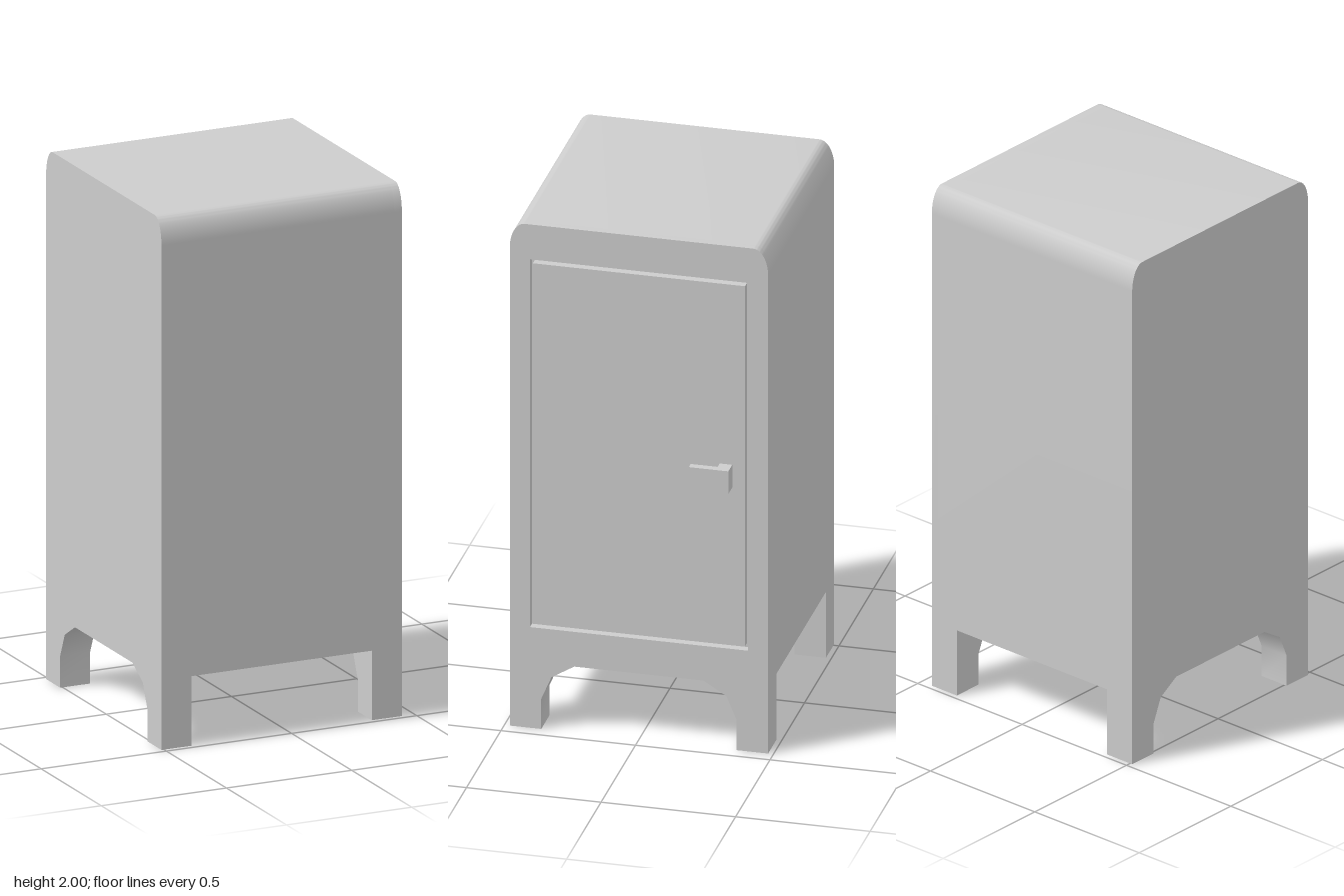
import * as THREE from 'three';
import { toCreasedNormals } from 'three/addons/utils/BufferGeometryUtils.js';

const LEFT_X = -0.51, RIGHT_X = 0.45; // ends of the cabinet
const HALF = 0.48;                    // half depth along z
const FLOOR = 0.262, TOP = 2;         // underside and top of the body
const GROOVE = 0.03;                  // depth of the gap around the door
const LEG = 0.12;

// Extrudes a shape drawn in (-z, y) from x0 to x1.
function extrudeX(shape, x0, x1) {
  const g = new THREE.ExtrudeGeometry(shape, { depth: x1 - x0, bevelEnabled: false, curveSegments: 8 });
  g.rotateY(Math.PI / 2);
  g.translate(x0, 0, 0);
  return toCreasedNormals(g, Math.PI / 5);
}

// Upright outline with rounded upper corners
function bodyShape() {
  const rz = 0.055, ry = 0.1;
  const s = new THREE.Shape();
  s.moveTo(-HALF, FLOOR);
  s.lineTo(HALF, FLOOR);
  s.lineTo(HALF, TOP - ry);
  s.absellipse(HALF - rz, TOP - ry, rz, ry, 0, Math.PI / 2, false, 0);
  s.lineTo(-HALF + rz, TOP);
  s.absellipse(-HALF + rz, TOP - ry, rz, ry, Math.PI / 2, Math.PI, false, 0);
  s.closePath();
  return s;
}

// Foot with a faceted bracket curving towards the middle
function legShape(side) {
  const pts = [[0.48, 0], [0.48, FLOOR], [0.24, FLOOR], [0.325, 0.21], [0.363, 0.12], [0.363, 0]];
  return new THREE.Shape(pts.map(([a, y]) => new THREE.Vector2(a * side, y)));
}

export function createModel() {
  const model = new THREE.Group();
  const grey = new THREE.MeshStandardMaterial({ color: 0xcccccc });
  grey.name = 'light grey';

  const add = (name, geometry, parent = model) => {
    const mesh = new THREE.Mesh(geometry, grey);
    mesh.name = name;
    parent.add(mesh);
    return mesh;
  };
  const box = (name, min, max, parent) => {
    const size = max.map((v, i) => v - min[i]);
    const mesh = add(name, new THREE.BoxGeometry(...size), parent);
    mesh.position.set(...max.map((v, i) => (v + min[i]) / 2));
  };

  // Cabinet body
  add('body', extrudeX(bodyShape(), LEFT_X, RIGHT_X - GROOVE));

  // Door surround with an opening
  const surround = bodyShape();
  surround.holes.push(new THREE.Path([
    new THREE.Vector2(-0.405, 0.4), new THREE.Vector2(-0.405, 1.862),
    new THREE.Vector2(0.405, 1.862), new THREE.Vector2(0.405, 0.4),
  ]));
  add('doorSurround', extrudeX(surround, RIGHT_X - GROOVE, RIGHT_X));

  // Flush door inside the groove
  box('door', [RIGHT_X - GROOVE, 0.416, -0.394], [RIGHT_X, 1.847, 0.394]);

  // L-shaped door handle
  const handle = new THREE.Group();
  handle.name = 'handle';
  model.add(handle);
  const grip = new THREE.Shape([
    [0.45, 0.347], [0.45, 0.3], [0.48, 0.3], [0.48, 0.2], [0.508, 0.2], [0.508, 0.347],
  ].map(([x, y]) => new THREE.Vector2(x, y)));
  const gripGeo = new THREE.ExtrudeGeometry(grip, { depth: 0.09, bevelEnabled: false });
  gripGeo.rotateX(-Math.PI / 2);
  gripGeo.translate(0, 1.042, 0);
  add('handleGrip', gripGeo, handle);

  // Four legs
  for (const side of [-1, 1]) {
    const end = side < 0 ? 'front' : 'back';
    add(end + 'RightLeg', extrudeX(legShape(side), LEFT_X, LEFT_X + LEG));
    add(end + 'LeftLeg', extrudeX(legShape(side), RIGHT_X - LEG, RIGHT_X));
  }
  return model;
}
